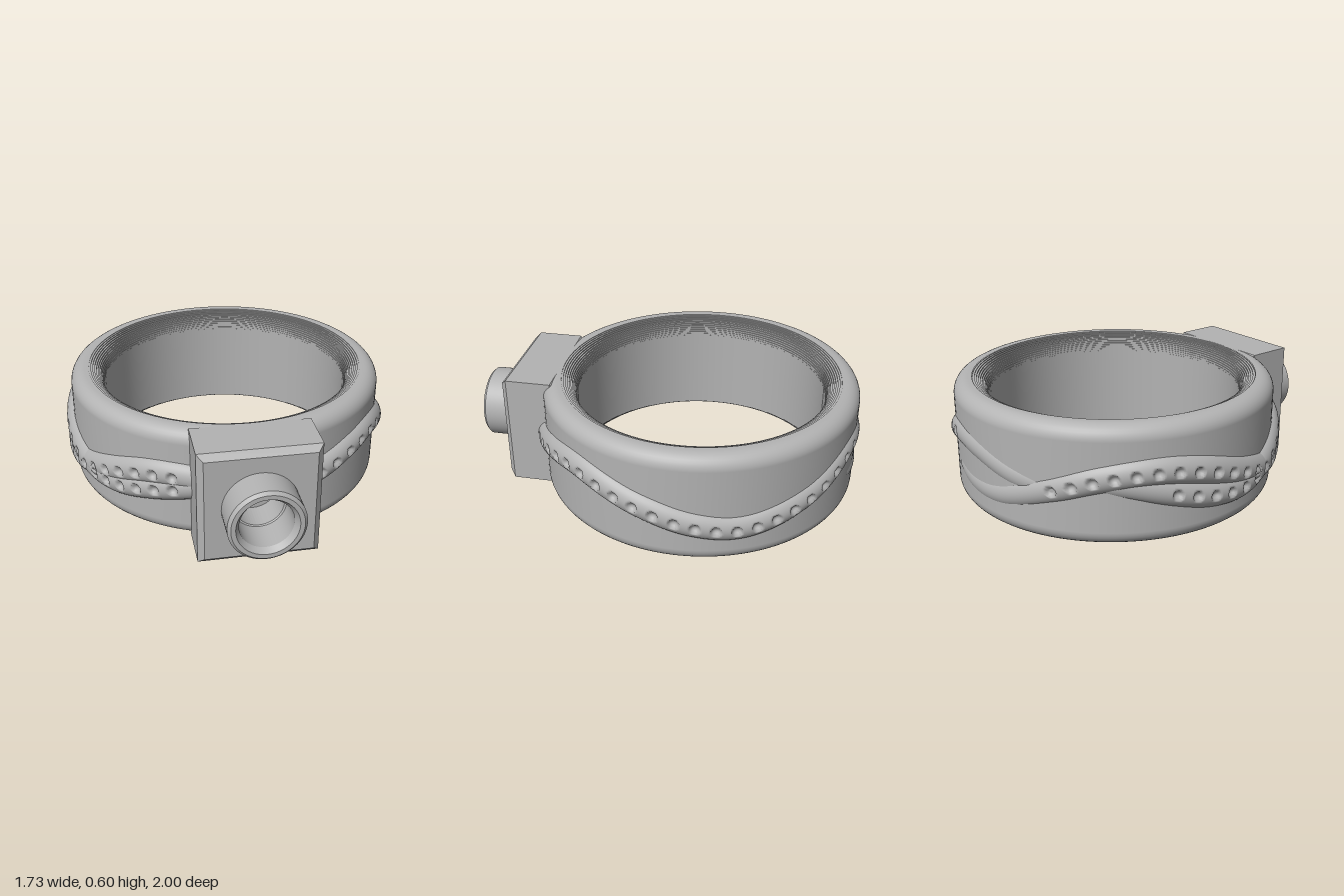
import * as THREE from 'three';
import { mergeGeometries } from 'three/addons/utils/BufferGeometryUtils.js';

const RING_Z = -0.165, OUTER = 0.825, INNER = 0.65, H = 0.595;
const RAD = Math.PI / 180;

// Lathe each profile segment on its own, so that every edge stays sharp
function sharpLathe(points, segments) {
  const parts = [];
  for (let i = 0; i < points.length - 1; i++) {
    parts.push(new THREE.LatheGeometry([points[i], points[i + 1]], segments));
  }
  return mergeGeometries(parts);
}

// Rounded outer wall of the band
function outerWall() {
  const f = 0.075, pts = [new THREE.Vector2(0.73, 0)];
  for (const [cy, from] of [[f, -90], [H - f, 0]]) {
    for (let i = 0; i <= 8; i++) {
      const a = (from + i * 11.25) * RAD;
      pts.push(new THREE.Vector2(OUTER - f + f * Math.cos(a), cy + f * Math.sin(a)));
    }
  }
  pts.push(new THREE.Vector2(0.73, H));
  return new THREE.LatheGeometry(pts, 128);
}

// Bore with finely stepped, rounded rims
function innerWall() {
  const f = 0.1, steps = 14, top = [new THREE.Vector2(INNER + f, H)];
  for (let i = 1; i <= steps; i++) {
    const a = (i / steps) * Math.PI / 2;
    const y = H - f + f * Math.cos(a);
    top.push(new THREE.Vector2(top[top.length - 1].x, y));
    top.push(new THREE.Vector2(INNER + f - f * Math.sin(a), y));
  }
  const bottom = top.map((p) => new THREE.Vector2(p.x, H - p.y)).reverse();
  return sharpLathe([...top, ...bottom], 128);
}

// Raised strand winding round the band, with a row of round dimples.
// keys: [angle in degrees, height, distance of the core from the axis]
function strand(keys, firstDot, lastDot) {
  const radius = 0.08, dot = 0.026, pitch = 6.7, around = 28;
  const path = new THREE.CatmullRomCurve3(keys.map((k) => new THREE.Vector3(...k)));
  const n = Math.round((keys[keys.length - 1][0] - keys[0][0]) * 2.2);
  const samples = path.getSpacedPoints(n);
  const place = (s) => new THREE.Vector3(Math.sin(s.x * RAD) * s.z, s.y, Math.cos(s.x * RAD) * s.z);
  const positions = [], index = [];
  samples.forEach((s, i) => {
    const p = place(s);
    const tangent = place(samples[Math.min(i + 1, n)]).sub(place(samples[Math.max(i - 1, 0)])).normalize();
    const out = new THREE.Vector3(Math.sin(s.x * RAD), 0, Math.cos(s.x * RAD));
    const side = new THREE.Vector3().crossVectors(out, tangent).normalize();
    const nearest = THREE.MathUtils.clamp(Math.round((s.x - firstDot) / pitch), 0,
      Math.floor((lastDot - firstDot) / pitch + 0.01));
    const along = (s.x - firstDot - nearest * pitch) * RAD * 0.86;
    for (let j = 0; j <= around; j++) {
      const a = (j / around - 0.5) * Math.PI;
      const d2 = along * along + (radius * a) ** 2;
      const r = radius - (d2 < dot * dot ? 0.9 * Math.sqrt(dot * dot - d2) : 0);
      const v = p.clone().addScaledVector(out, r * Math.cos(a)).addScaledVector(side, r * Math.sin(a));
      positions.push(v.x, v.y, v.z);
      if (i < n && j < around) {
        const q = i * (around + 1) + j, w = q + around + 1;
        index.push(q, w, q + 1, w, w + 1, q + 1);
      }
    }
  });
  const g = new THREE.BufferGeometry();
  g.setAttribute('position', new THREE.Float32BufferAttribute(positions, 3));
  g.setIndex(index);
  g.computeVertexNormals();
  return g;
}

// Square head block with chamfered edges and an opening for the socket
function headBlock() {
  const c = 0.03, w = 0.295 - c, h = H / 2 - c;
  const shape = new THREE.Shape();
  shape.moveTo(-w, -h);
  shape.lineTo(w, -h);
  shape.lineTo(w, h);
  shape.lineTo(-w, h);
  shape.closePath();
  const hole = new THREE.Path();
  hole.absarc(0, 0, 0.15, 0, Math.PI * 2, true);
  shape.holes.push(hole);
  return new THREE.ExtrudeGeometry(shape, {
    depth: 0.835 - 0.54 - 2 * c, bevelEnabled: true, bevelThickness: c,
    bevelSize: c, bevelSegments: 1, curveSegments: 32,
  }).translate(0, H / 2, 0.54 + c);
}

// Hollow round socket with a chamfered lip
function socket() {
  const profile = [[0.185, 0.78], [0.185, 0.985], [0.17, 1], [0.148, 1], [0.128, 0.97], [0.128, 0.66], [0, 0.66]];
  return sharpLathe(profile.map((p) => new THREE.Vector2(...p)), 64)
    .rotateX(Math.PI / 2).translate(0, 0.3, 0);
}

export function createModel() {
  const model = new THREE.Group();
  const metal = new THREE.MeshStandardMaterial({ color: 0xb3b3b3 });
  metal.name = 'grey metal';
  const add = (name, geometry, z = 0) => {
    const mesh = new THREE.Mesh(geometry, metal);
    mesh.name = name;
    mesh.position.z = z;
    model.add(mesh);
  };

  add('bandOuterWall', outerWall(), RING_Z);
  add('bandInnerWall', innerWall(), RING_Z);

  // Strands sink into the band towards the back
  add('rightStrand', strand([
    [12, 0.29, 0.785], [24, 0.31, 0.785], [40, 0.365, 0.785], [54, 0.385, 0.785], [79, 0.295, 0.783],
    [97, 0.225, 0.78], [113, 0.2, 0.777], [138, 0.27, 0.773], [163, 0.375, 0.767],
    [180, 0.36, 0.758], [198, 0.30, 0.753], [212, 0.27, 0.745],
  ], 24, 166), RING_Z);
  add('leftStrand', strand([
    [164, 0.2, 0.747], [178, 0.17, 0.751], [192, 0.18, 0.756], [213, 0.27, 0.766], [229, 0.34, 0.774],
    [248, 0.37, 0.782], [261, 0.345, 0.785], [281, 0.26, 0.785], [295, 0.215, 0.785],
    [309, 0.215, 0.785], [323, 0.25, 0.785], [337, 0.29, 0.785], [348, 0.32, 0.785],
  ], 213, 337), RING_Z);
  add('lowerLeftStrand', strand([
    [228, 0.32, 0.75], [240, 0.295, 0.764], [253, 0.25, 0.774], [267, 0.205, 0.782], [282, 0.19, 0.785],
    [296, 0.23, 0.785], [310, 0.29, 0.785], [323, 0.34, 0.785], [335, 0.35, 0.785], [348, 0.33, 0.785],
  ], 253, 337), RING_Z);

  add('headBlock', headBlock());
  add('socket', socket());
  return model;
}
